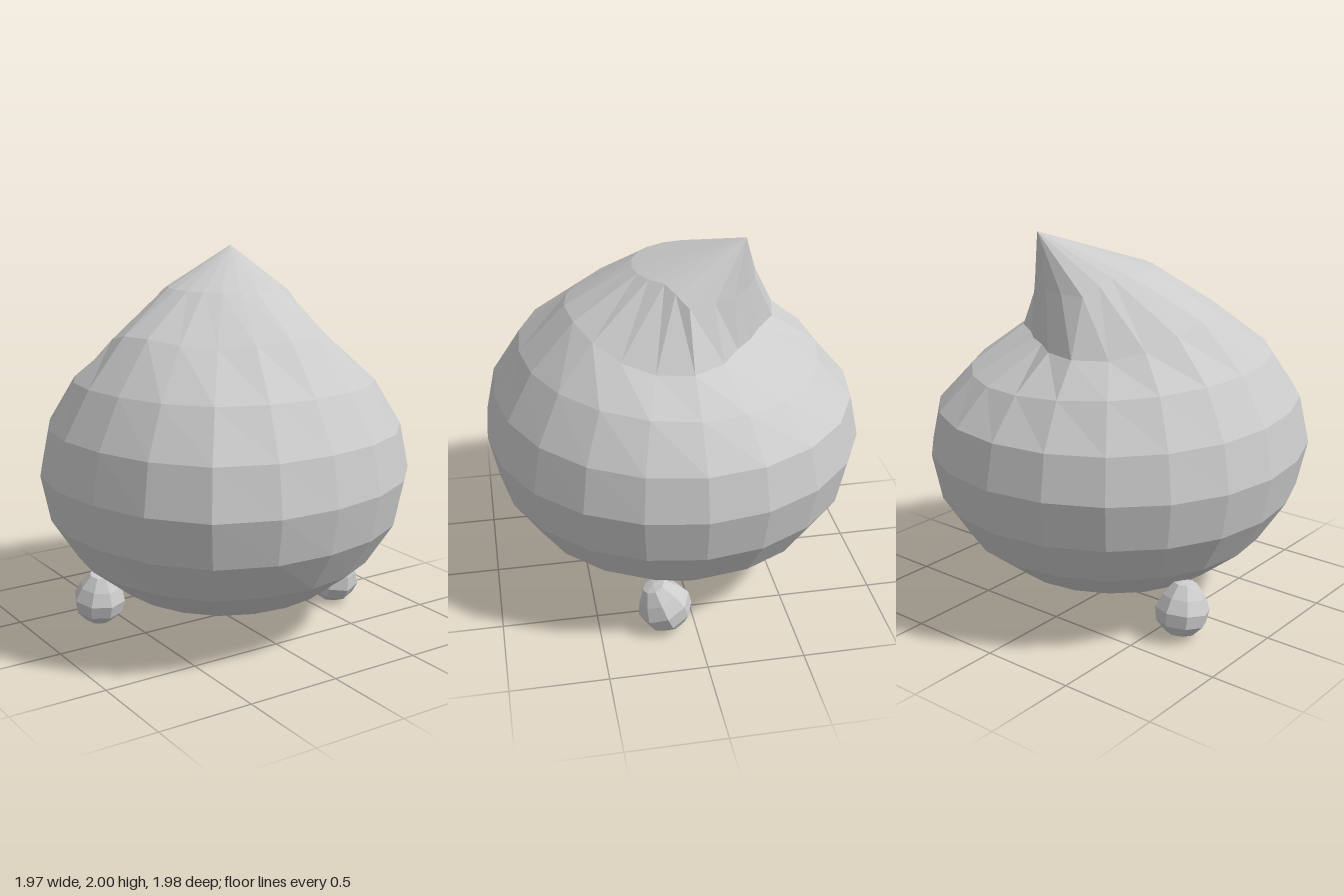
import * as THREE from 'three';

const SIDES = 20, RINGS = 10;
const RADIUS = 0.985, HALF_HEIGHT = 0.785, CENTRE_Y = 0.865;
const TIP = new THREE.Vector3(0.25, 2, -0.315);
const TIP_AZIMUTH = 36; // degrees from -z towards +x
const { smoothstep, lerp, degToRad } = THREE.MathUtils;

const material = () => new THREE.MeshStandardMaterial({
  color: 0xcccccc, flatShading: true, side: THREE.DoubleSide,
});

// Point at a radius, height and azimuth around the vertical axis
function polar(r, y, azimuth) {
  const t = degToRad(azimuth);
  return new THREE.Vector3(r * Math.sin(t), y, -r * Math.cos(t));
}

const towardsTip = (p, distance) => p.addScaledVector(polar(1, 0, TIP_AZIMUTH), distance);

// Crease ring: dented inwards under the curl, raised on the front
function creaseRing(azimuth, away) {
  const front = smoothstep(away, 65, 135);
  const dent = 0.165 * Math.exp(-((away / 38) ** 4));
  const y = lerp(1.455, 1.61, front) - 0.03 * smoothstep(away, 140, 180);
  return towardsTip(polar(0.6 - dent, y, azimuth), 0.045 * front);
}

// Ring just under the tip: a steep back wall that blends into the round front
function hookRing(azimuth, away) {
  const wall = polar(0.412 + 0.03 * Math.min(1, (away / 54) ** 2), 1.73, azimuth);
  const round = towardsTip(polar(0.303, 1.81, azimuth), 0.1);
  return wall.lerp(round, smoothstep(away, 52, 85));
}

// Flattened sphere whose pole is pulled up and back into a hooked point
function bodyPoint(ring, azimuth) {
  const away = Math.abs(((azimuth - TIP_AZIMUTH + 540) % 360) - 180);
  if (ring === RINGS) return TIP.clone();
  if (ring === RINGS - 1) return hookRing(azimuth, away);
  if (ring === RINGS - 2) return creaseRing(azimuth, away);

  const lat = degToRad(-90 + ring * 180 / RINGS);
  const front = smoothstep(away, 60, 140);
  const back = 1 - smoothstep(away, 0, 100);
  const bulge = 0.085 * Math.exp(-(((180 - away) / 25) ** 2)) * Math.cos(lat) ** 2;
  let r = RADIUS * Math.cos(lat) * (1 + bulge);
  let y = CENTRE_Y + HALF_HEIGHT * Math.sin(lat);
  if (ring === RINGS - 3) {
    y += 0.035 * front - 0.05 * back;
    r -= 0.04 * back;
  }
  if (ring === RINGS - 4) y += lerp(-0.015, 0.01, front);
  if (ring === 1) {
    y += 0.028;
    r += 0.03;
  }
  return polar(r, y, azimuth);
}

function bodyGeometry() {
  const positions = [], index = [];
  for (let j = 0; j <= RINGS; j++) {
    for (let i = 0; i < SIDES; i++) {
      positions.push(...bodyPoint(j, i * 360 / SIDES).toArray());
    }
  }
  for (let j = 0; j < RINGS; j++) {
    for (let i = 0; i < SIDES; i++) {
      const n = (i + 1) % SIDES;
      const a = j * SIDES + i, b = j * SIDES + n;
      const c = b + SIDES, d = a + SIDES;
      if (j < RINGS - 1) index.push(a, d, c);
      else index.push(a, d, b);
      if (j > 0 && j < RINGS - 1) index.push(a, c, b);
    }
  }
  const geometry = new THREE.BufferGeometry();
  geometry.setAttribute('position', new THREE.Float32BufferAttribute(positions, 3));
  geometry.setIndex(index);
  geometry.computeVertexNormals();
  return geometry;
}

// Stubby bulb, narrow where it enters the body
function foot(name, x, z, tilt) {
  const profile = [[0, 0], [0.075, 0.012], [0.13, 0.07], [0.142, 0.14], [0.11, 0.21], [0.06, 0.275], [0, 0.285]]
    .map(([r, y]) => new THREE.Vector2(r, y));
  const mesh = new THREE.Mesh(new THREE.LatheGeometry(profile, 8), material());
  mesh.name = name;
  mesh.position.set(x, 0.02, z);
  mesh.rotation.x = tilt;
  return mesh;
}

export function createModel() {
  const model = new THREE.Group();
  model.name = 'pointedBlob';

  const body = new THREE.Mesh(bodyGeometry(), material());
  body.name = 'body';
  model.add(body);

  model.add(foot('leftFoot', 0.64, 0.11, 0.4));
  model.add(foot('rightFoot', -0.64, -0.27, 0.15));
  return model;
}
